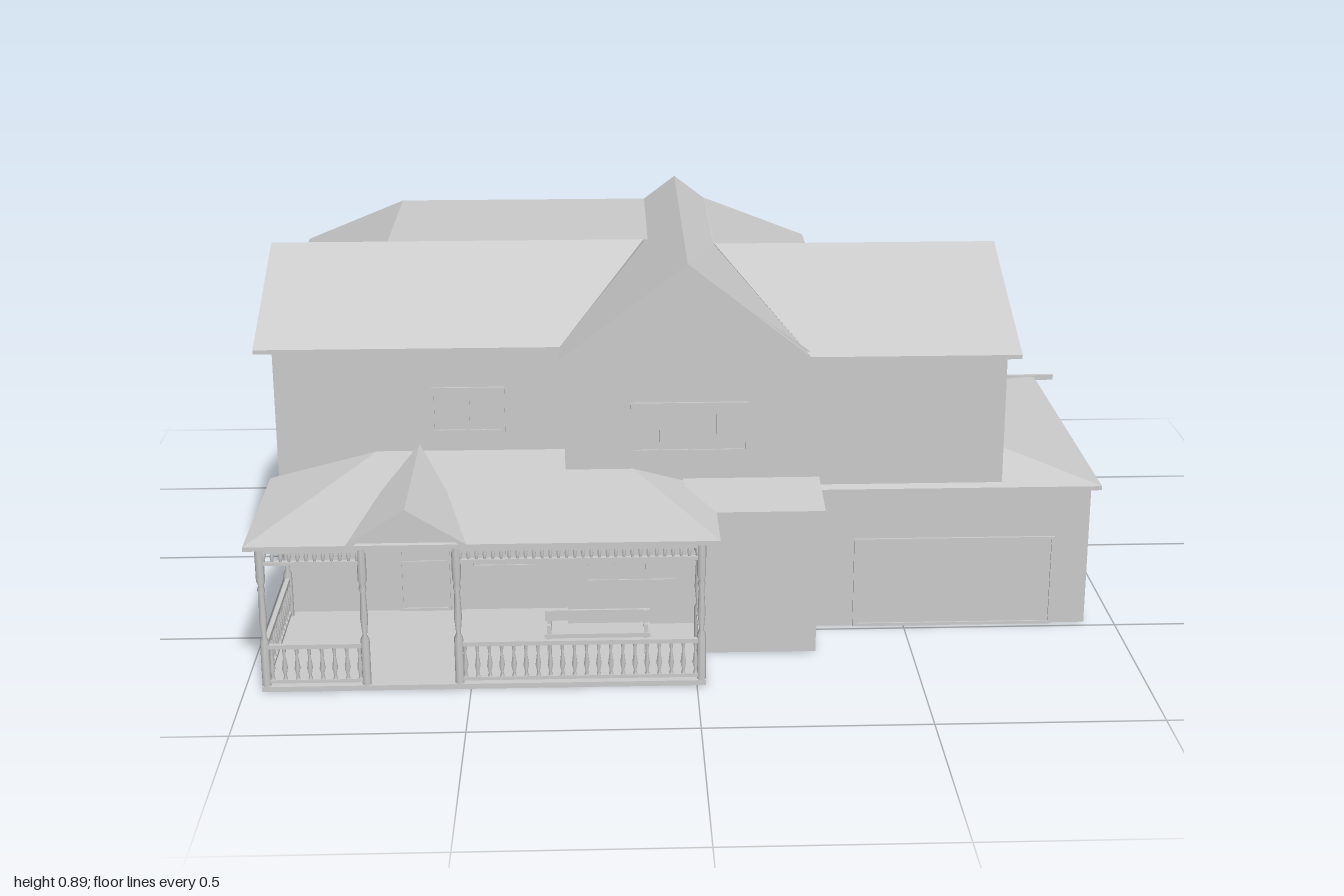
import * as THREE from 'three';
import { mergeVertices } from 'three/addons/utils/BufferGeometryUtils.js';

const mat = new THREE.MeshStandardMaterial({ color: 0xcccccc, side: THREE.DoubleSide });

function addMesh(parent, name, geo) {
  const m = new THREE.Mesh(geo, mat);
  m.name = name;
  parent.add(m);
  return m;
}

// Box given by its limits
function box(parent, name, x0, x1, y0, y1, z0, z1) {
  const m = addMesh(parent, name, new THREE.BoxGeometry(x1 - x0, y1 - y0, z1 - z0));
  m.position.set((x0 + x1) / 2, (y0 + y1) / 2, (z0 + z1) / 2);
  return m;
}

// Flat polygons, each fanned into triangles
function polyGeometry(polys) {
  const pos = [];
  for (const p of polys)
    for (let i = 1; i < p.length - 1; i++) pos.push(...p[0], ...p[i], ...p[i + 1]);
  const g = new THREE.BufferGeometry();
  g.setAttribute('position', new THREE.Float32BufferAttribute(pos, 3));
  g.computeVertexNormals();
  return g;
}

// Roof plane with a thickness below it
function slab(parent, name, p, t = 0.01) {
  const low = p.map(([x, y, z]) => [x, y - t, z]);
  const sides = p.map((a, i) => {
    const j = (i + 1) % p.length;
    return [a, p[j], low[j], low[i]];
  });
  return addMesh(parent, name, polyGeometry([p, low, ...sides]));
}

// Window or door on a wall: dir is the way it faces, a0..a1 runs along the wall
function opening(parent, name, dir, plane, a0, a1, y0, y1, cols = 2, rows = 1) {
  const g = new THREE.Group(), w = a1 - a0, h = y1 - y0, f = 0.007;
  g.name = name;
  box(g, 'panel', -w / 2, w / 2, -h / 2, h / 2, 0, 0.002);
  for (let i = 0; i <= cols; i++) {
    const x = -w / 2 + (w - f) * i / cols;
    box(g, 'upright', x, x + f, -h / 2, h / 2, 0, 0.006);
  }
  for (let i = 0; i <= rows; i++) {
    const y = -h / 2 + (h - f) * i / rows;
    box(g, 'rail', -w / 2, w / 2, y, y + f, 0, 0.006);
  }
  const c = (a0 + a1) / 2, y = (y0 + y1) / 2;
  if (dir[0] === 'z') g.position.set(c, y, plane);
  else g.position.set(plane, y, c);
  g.rotation.y = { 'z+': 0, 'z-': Math.PI, 'x+': Math.PI / 2, 'x-': -Math.PI / 2 }[dir];
  parent.add(g);
}

function buildWalls(g) {
  const F = 0.345, E = 0.67;
  box(g, 'lowerHouse', -0.96, 0.33, 0, F, -0.62, 0.38);
  box(g, 'lowerFrontBay', -0.29, 0.28, 0, F, 0.3, 0.48);
  box(g, 'frontRoom', 0.02, 0.28, 0, F, 0.4, 0.62);
  box(g, 'garage', 0.28, 0.93, 0, F, -0.31, 0.48);
  box(g, 'backExtension', -0.29, 0.53, 0, 0.33, -0.79, -0.31);
  box(g, 'upperHouse', -0.96, 0.33, F, E, -0.62, 0.38);
  box(g, 'upperFrontBay', -0.29, 0.28, F, E, 0.3, 0.48);
  box(g, 'upperWing', 0.28, 0.72, F, E, -0.31, 0.48);
  // Gable ends
  addMesh(g, 'gableWalls', polyGeometry([
    [[0.72, E, 0.48], [0.72, E, -0.31], [0.72, 0.82, 0.08]],
    [[-0.96, E, -0.31], [-0.96, E, 0.38], [-0.96, 0.82, 0.03]],
    [[-0.29, E, 0.48], [0.28, E, 0.48], [-0.01, 0.88, 0.48]],
  ]));
}

function buildUpperRoof(g) {
  const E = 0.67, R = 0.83, P = 0.89;
  [
    ['backSlope', [[0.35, E, -0.65], [-1, E, -0.65], [-0.72, R, -0.41], [0.07, R, -0.41]]],
    ['westHip', [[-1, E, -0.65], [-1, E, -0.33], [-0.72, R, 0.03], [-0.72, R, -0.41]]],
    ['westGableBack', [[-1, E, -0.33], [-1, R, 0.03], [-0.72, R, 0.03]]],
    ['westGableFront', [[-1, R, 0.03], [-1, E, 0.4], [-0.3, E, 0.4], [-0.1, R, 0.03]]],
    ['roofDeck', [[-0.72, R, -0.41], [-0.72, R, 0.03], [-0.1, R, 0.03], [0.07, R, 0.08], [0.07, R, -0.41]]],
    ['eastHip', [[0.35, E, -0.65], [0.07, R, -0.41], [0.07, R, 0.08], [0.35, E, -0.34]]],
    ['eastGableBack', [[0.35, E, -0.34], [0.07, R, 0.08], [0.75, R, 0.08], [0.75, E, -0.34]]],
    ['eastGableFront', [[0.75, R, 0.08], [0.07, R, 0.08], [0.27, E, 0.5], [0.75, E, 0.5]]],
    ['frontGableWest', [[-0.01, P, 0.5], [-0.01, P, -0.41], [-0.1, 0.822, -0.41], [-0.1, 0.822, 0.03], [-0.3, E, 0.4], [-0.3, E, 0.5]]],
    ['frontGableEast', [[-0.01, P, 0.5], [0.27, E, 0.5], [0.07, 0.828, 0.08], [0.07, 0.828, -0.41], [-0.01, P, -0.41]]],
    ['ridgeEnd', [[-0.1, 0.82, -0.41], [-0.01, P, -0.41], [0.07, 0.82, -0.41]]],
  ].forEach(([name, p]) => slab(g, name, p, name === 'ridgeEnd' ? 0.001 : 0.01));
}

function buildLowerRoofs(g) {
  // Hipped garage roof and its gutter
  const a = [0.28, 0.35, 0.5], b = [0.95, 0.35, 0.5], c = [0.95, 0.35, -0.34], d = [0.28, 0.35, -0.34];
  const t = [[0.28, 0.4, 0.33], [0.72, 0.4, 0.33], [0.72, 0.4, -0.13], [0.28, 0.4, -0.13]];
  slab(g, 'garageRoofFront', [a, b, t[1], t[0]]);
  slab(g, 'garageRoofSide', [b, c, t[2], t[1]]);
  slab(g, 'garageRoofBack', [c, d, t[3], t[2]]);
  box(g, 'gutter', 0.55, 1, 0.343, 0.356, -0.34, -0.33);

  // Front room roof
  slab(g, 'roomRoof', [[-0.02, 0.352, 0.64], [0.295, 0.352, 0.64], [0.295, 0.375, 0.48], [-0.02, 0.375, 0.48]]);
  slab(g, 'roomRoofEnd', [[0.295, 0.352, 0.64], [0.295, 0.352, 0.48], [0.295, 0.375, 0.48]], 0.004);

  // Rounded roof over the back extension
  const rings = [];
  for (let i = 0; i <= 10; i++) {
    const u = i / 10 * Math.PI / 2, k = 1 - Math.cos(u), y = 0.335 + 0.055 * Math.sin(u);
    const x0 = -0.31 + 0.1 * k, x1 = 0.55 - 0.1 * k, z0 = -0.81 + 0.18 * k;
    rings.push([[x0, y, -0.6], [x0, y, z0], [x1, y, z0], [x1, y, -0.31]]);
  }
  const strips = [];
  for (let i = 0; i < 10; i++)
    for (let j = 0; j < 3; j++)
      strips.push([rings[i][j + 1], rings[i][j], rings[i + 1][j], rings[i + 1][j + 1]]);
  const top = rings[10];
  strips.push([top[0], top[3], top[2], top[1]]);
  const geo = polyGeometry(strips);
  geo.deleteAttribute('normal');
  const smooth = mergeVertices(geo, 1e-4);
  smooth.computeVertexNormals();
  addMesh(g, 'roundedRoof', smooth);
  box(g, 'roundedRoofEave', -0.31, 0.55, 0.326, 0.335, -0.81, -0.34);
}

// Bay window on the back wall
function buildBay(g) {
  const ring = (w0, w1, z, y) => [[-0.015 - w0, y, -0.62], [-0.015 - w1, y, z], [-0.015 + w1, y, z], [-0.015 + w0, y, -0.62]];
  const loft = (name, r) => {
    const polys = [];
    for (let i = 0; i < r.length - 1; i++)
      for (let j = 0; j < 3; j++) polys.push([r[i][j + 1], r[i][j], r[i + 1][j], r[i + 1][j + 1]]);
    polys.push(r[0], r[r.length - 1].slice().reverse());
    addMesh(g, name, polyGeometry(polys));
  };
  loft('bayWalls', [ring(0.13, 0.07, -0.705, 0.36), ring(0.13, 0.07, -0.705, 0.56)]);
  loft('baySill', [ring(0.14, 0.078, -0.715, 0.4), ring(0.14, 0.078, -0.715, 0.415)]);
  loft('bayRoof', [ring(0.18, 0.09, -0.73, 0.555), ring(0.18, 0.09, -0.73, 0.565), ring(0.12, 0.052, -0.69, 0.62)]);
  opening(g, 'bayPane', 'z-', -0.705, -0.075, 0.045, 0.425, 0.545, 2);
}

function buildPorch(g) {
  box(g, 'porchFloor', -0.96, 0.02, 0, 0.012, 0.38, 0.79);
  // Hipped roof with a small gable over the entrance
  const e = 0.352, r = 0.415;
  slab(g, 'porchRoofFront', [[-0.98, e, 0.81], [0.05, e, 0.81], [-0.19, r, 0.38], [-0.73, r, 0.38]]);
  slab(g, 'porchRoofWest', [[-0.98, e, 0.81], [-0.73, r, 0.38], [-0.98, e, 0.38]]);
  slab(g, 'porchRoofEast', [[0.05, e, 0.81], [0.05, e, 0.38], [-0.19, r, 0.38]]);
  for (const s of [-1, 1])
    slab(g, 'entranceGable', [[-0.63, 0.433, 0.81], [-0.63 + s * 0.13, e, 0.81], [-0.63 + s * 0.13, e, 0.72], [-0.63, 0.433, 0.38]]);
  addMesh(g, 'entrancePediment', polyGeometry([[[-0.75, e, 0.8], [-0.51, e, 0.8], [-0.63, 0.425, 0.8]]]));

  // Turned posts, balusters and frieze spindles
  const turned = (pts, n) => new THREE.LatheGeometry(pts.map(([x, y]) => new THREE.Vector2(x, y)), n);
  const post = turned([[0.01, 0], [0.01, 0.12], [0.005, 0.13], [0.009, 0.17], [0.006, 0.23], [0.009, 0.24], [0.006, 0.25], [0.01, 0.26], [0.01, 0.34]], 8);
  const baluster = turned([[0.006, 0.025], [0.003, 0.035], [0.007, 0.052], [0.003, 0.08], [0.005, 0.1]], 6);
  const spindle = turned([[0.003, 0.306], [0.005, 0.317], [0.003, 0.328]], 6);
  for (const [x, z] of [[-0.95, 0.78], [-0.73, 0.78], [-0.525, 0.78], [0.01, 0.78], [-0.95, 0.4], [0.01, 0.63]])
    addMesh(g, 'porchPost', post).position.set(x, 0, z);

  const row = (geo, name, x0, z0, x1, z1, pitch) => {
    const n = Math.round(Math.hypot(x1 - x0, z1 - z0) / pitch);
    for (let i = 0; i < n; i++) {
      const k = (i + 0.5) / n;
      addMesh(g, name, geo).position.set(x0 + (x1 - x0) * k, 0, z0 + (z1 - z0) * k);
    }
  };
  const bar = (name, x0, z0, x1, z1, y0, y1) =>
    box(g, name, x0 - 0.005, x1 + 0.005, y0, y1, z0 - 0.005, z1 + 0.005);
  const runs = [[-0.95, 0.78, -0.73, 0.78, true], [-0.73, 0.78, -0.525, 0.78, false], [-0.525, 0.78, 0.01, 0.78, true],
    [-0.95, 0.4, -0.95, 0.78, true], [0.01, 0.62, 0.01, 0.78, true]];
  for (const [x0, z0, x1, z1, railed] of runs) {
    bar('porchBeam', x0, z0, x1, z1, 0.326, 0.345);
    if (!railed) continue;
    row(spindle, 'friezeSpindle', x0, z0, x1, z1, 0.018);
    bar('friezeRail', x0, z0, x1, z1, 0.298, 0.306);
    row(baluster, 'baluster', x0, z0, x1, z1, 0.027);
    bar('handRail', x0, z0, x1, z1, 0.1, 0.11);
    bar('bottomRail', x0, z0, x1, z1, 0.018, 0.026);
  }

  // Bench
  box(g, 'benchSeat', -0.34, -0.1, 0.055, 0.065, 0.59, 0.65);
  box(g, 'benchBack', -0.34, -0.1, 0.075, 0.1, 0.59, 0.597);
  for (const x of [-0.335, -0.115])
    for (const z of [0.592, 0.638]) box(g, 'benchLeg', x, x + 0.01, 0.01, z < 0.6 ? 0.1 : 0.085, z, z + 0.01);
}

function buildOpenings(g) {
  opening(g, 'garageDoor', 'z+', 0.48, 0.38, 0.85, 0, 0.22, 1, 1);
  opening(g, 'garageSideDoor', 'x+', 0.93, -0.2, -0.07, 0, 0.25, 2, 2);
  opening(g, 'frontDoor', 'z+', 0.38, -0.69, -0.57, 0.012, 0.26, 1, 2);
  opening(g, 'porchWindow', 'z+', 0.48, -0.25, -0.03, 0.12, 0.25, 3);
  opening(g, 'porchWindow', 'z+', 0.38, -0.52, -0.36, 0.12, 0.25, 2);
  opening(g, 'frontGableWindow', 'z+', 0.48, -0.14, 0.13, 0.44, 0.56, 4);
  opening(g, 'frontUpperWindow', 'z+', 0.38, -0.6, -0.43, 0.46, 0.57, 2);
  opening(g, 'eastGableWindow', 'x+', 0.72, 0.035, 0.22, 0.47, 0.59, 2);
  opening(g, 'westUpperWindow', 'x-', -0.96, -0.48, -0.16, 0.46, 0.58, 3);
  opening(g, 'westUpperWindow', 'x-', -0.96, 0.04, 0.33, 0.46, 0.58, 3);
  opening(g, 'backUpperWindow', 'z-', -0.62, -0.74, -0.56, 0.42, 0.54, 2);
  opening(g, 'backLowerWindow', 'z-', -0.62, -0.63, -0.45, 0.13, 0.25, 2);
  opening(g, 'extensionWindow', 'z-', -0.79, -0.04, 0.22, 0.13, 0.24, 2);
}

export function createModel() {
  const house = new THREE.Group();
  house.name = 'house';
  const parts = { walls: buildWalls, upperRoof: buildUpperRoof, lowerRoofs: buildLowerRoofs,
    bayWindow: buildBay, porch: buildPorch, windowsAndDoors: buildOpenings };
  for (const [name, build] of Object.entries(parts)) {
    const g = new THREE.Group();
    g.name = name;
    build(g);
    house.add(g);
  }
  return house;
}
